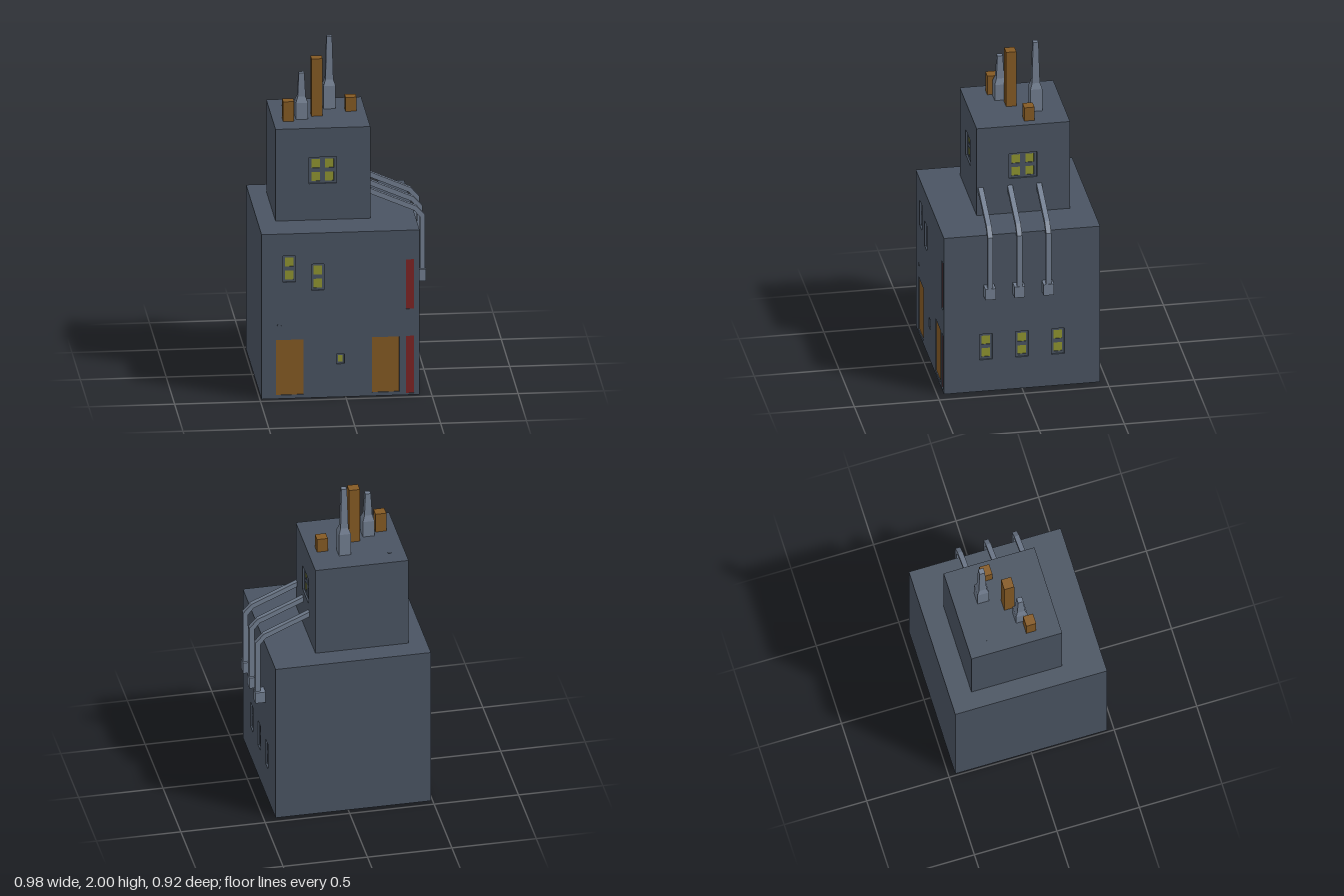
import * as THREE from 'three';

const LAYER = 0.01; // thickness of each of the two wall layers that form the recesses

export function createModel() {
  const mat = (name, color) => {
    const m = new THREE.MeshStandardMaterial({ color });
    m.name = name;
    return m;
  };
  const wallMat = mat('slate wall', 0x4a5462);
  const metalMat = mat('light metal', 0x727e90);
  const rustMat = mat('rusty brown', 0x855a24);
  const redMat = mat('dark red', 0x7d2424);
  const glassMat = mat('yellow glass', 0x8f9430);

  const root = new THREE.Group();
  root.name = 'factoryTower';

  const add = (parent, name, geometry, material, x = 0, y = 0, z = 0) => {
    const mesh = new THREE.Mesh(geometry, material);
    mesh.name = name;
    mesh.position.set(x, y, z);
    parent.add(mesh);
    return mesh;
  };
  // Box given by its lower and upper limits
  const box = (parent, name, material, [x0, x1], [y0, y1], [z0, z1]) =>
    add(parent, name, new THREE.BoxGeometry(x1 - x0, y1 - y0, z1 - z0), material,
      (x0 + x1) / 2, (y0 + y1) / 2, (z0 + z1) / 2);

  const polygon = (points) => new THREE.Shape(points.map(([x, y]) => new THREE.Vector2(x, y)));
  const rect = ({ x, y, w, h }) => polygon([
    [x - w / 2, y - h / 2], [x + w / 2, y - h / 2], [x + w / 2, y + h / 2], [x - w / 2, y + h / 2],
  ]);
  const extrude = (shape, depth) => new THREE.ExtrudeGeometry(shape, { depth, bevelEnabled: false });
  const span = (x0, x1, y0, y1) => ({ x: (x0 + x1) / 2, y: (y0 + y1) / 2, w: x1 - x0, h: y1 - y0 });

  // Panes of a window laid out in columns and rows
  const panesOf = (win) => {
    const list = [];
    for (let c = 0; c < win.cols; c++) for (let r = 0; r < win.rows; r++) {
      list.push({
        x: win.x + (c - (win.cols - 1) / 2) * 0.08,
        y: win.y + (r - (win.rows - 1) / 2) * 0.08,
        w: win.pane[0], h: win.pane[1],
      });
    }
    return list;
  };
  const windowAt = (x, y, w, h, cols, rows, pane = [0.05, 0.055]) => ({ x, y, w, h, cols, rows, pane });

  // Wall with its outer surface on local z = 0; windows sink in two steps, panels in one
  function wall(name, outline, windows, panels = []) {
    const group = new THREE.Group();
    group.name = name;
    const panes = windows.flatMap(panesOf);
    const outer = rect(outline);
    outer.holes = [...windows, ...panels].map(rect);
    add(group, 'wallFace', extrude(outer, LAYER), wallMat, 0, 0, -LAYER);
    const inner = rect(outline);
    inner.holes = panes.map(rect);
    add(group, 'windowFrames', extrude(inner, LAYER), wallMat, 0, 0, -2 * LAYER);
    for (const p of panes) {
      add(group, 'windowPane', new THREE.BoxGeometry(p.w, p.h, 0.006), glassMat, p.x, p.y, -2 * LAYER + 0.003);
    }
    for (const p of panels) {
      add(group, p.name, new THREE.BoxGeometry(p.w, p.h, 0.004), p.material, p.x, p.y, -LAYER + 0.002);
    }
    root.add(group);
    return group;
  }

  // A storey: solid core plus layered front and left walls
  function storey(name, [x0, x1], [y0, y1], [z0, z1], frontWindows, sideWindows, panels) {
    const d = 2 * LAYER;
    box(root, name + 'Core', wallMat, [x0, x1 - d], [y0, y1], [z0, z1 - d]);
    wall(name + 'Front', span(x0, x1, y0, y1), frontWindows, panels).position.z = z1;
    const side = wall(name + 'Side', span(-z1 + d, -z0, y0, y1), sideWindows);
    side.rotation.y = Math.PI / 2; // local x runs along -z
    side.position.x = x1;
  }

  const panel = (name, material, ...limits) => ({ ...span(...limits), name, material });
  storey('lowerStorey', [-0.49, 0.43], [0, 1.005], [-0.46, 0.46],
    [
      windowAt(-0.328, 0.79, 0.072, 0.16, 1, 2),
      windowAt(-0.162, 0.735, 0.072, 0.16, 1, 2),
      windowAt(-0.03, 0.232, 0.045, 0.06, 1, 1, [0.026, 0.04]),
    ],
    [-0.212, 0, 0.212].map((x) => windowAt(x, 0.285, 0.075, 0.165, 1, 2)),
    [
      panel('rightDoor', rustMat, -0.407, -0.245, 0.022, 0.358),
      panel('leftDoor', rustMat, 0.152, 0.312, 0.022, 0.358),
      panel('upperRedStrip', redMat, 0.35, 0.398, 0.525, 0.827),
      panel('lowerRedStrip', redMat, 0.35, 0.398, 0.01, 0.36),
    ]);
  storey('upperStorey', [-0.385, 0.167], [1.005, 1.565], [-0.33, 0.22],
    [windowAt(-0.11, 1.307, 0.16, 0.16, 2, 2)],
    [windowAt(0.053, 1.307, 0.165, 0.16, 2, 2)], []);

  // Small round studs on the front wall and the roof
  const stud = new THREE.CylinderGeometry(0.012, 0.012, 0.004, 8);
  add(root, 'frontStud', stud, wallMat, -0.387, 0.445, 0.46).rotation.x = Math.PI / 2;
  add(root, 'roofStud', stud, wallMat, -0.295, 1.565, -0.22);

  // Square brown chimneys: centre x, centre z, top
  for (const [x, z, top] of [[-0.295, 0.05, 1.685], [-0.122, -0.03, 1.915], [0.083, -0.1, 1.65]]) {
    box(root, 'brownChimney', rustMat, [x - 0.032, x + 0.032], [1.56, top], [z - 0.03, z + 0.03]);
  }

  // Stepped, tapering metal chimneys: centre x, centre z, shoulder height, top
  for (const [x, z, shoulder, top] of [[-0.215, 0.016, 1.665, 1.842], [-0.036, -0.162, 1.705, 2]]) {
    const profile = [[0, 1.56], [0.035, 1.56], [0.035, shoulder], [0.023, shoulder + 0.035], [0.016, top], [0, top]]
      .map(([half, y]) => new THREE.Vector2(half * Math.SQRT2, y));
    const geo = new THREE.LatheGeometry(profile, 4, Math.PI / 4).toNonIndexed();
    geo.computeVertexNormals();
    add(root, 'metalChimney', geo, metalMat, x, 0, z);
  }

  // Bent pipes from the upper storey down to their end boxes
  const pipe = polygon([
    [0.15, 1.16], [0.425, 1.04], [0.457, 1.0], [0.457, 0.67],
    [0.487, 0.67], [0.487, 1.012], [0.437, 1.067], [0.15, 1.192],
  ]);
  for (const z of [-0.147, 0.024, 0.196]) {
    add(root, 'pipe', extrude(pipe, 0.03), metalMat, 0, 0, z - 0.015);
    box(root, 'pipeEnd', metalMat, [0.427, 0.49], [0.615, 0.685], [z - 0.031, z + 0.031]);
  }

  return root;
}
